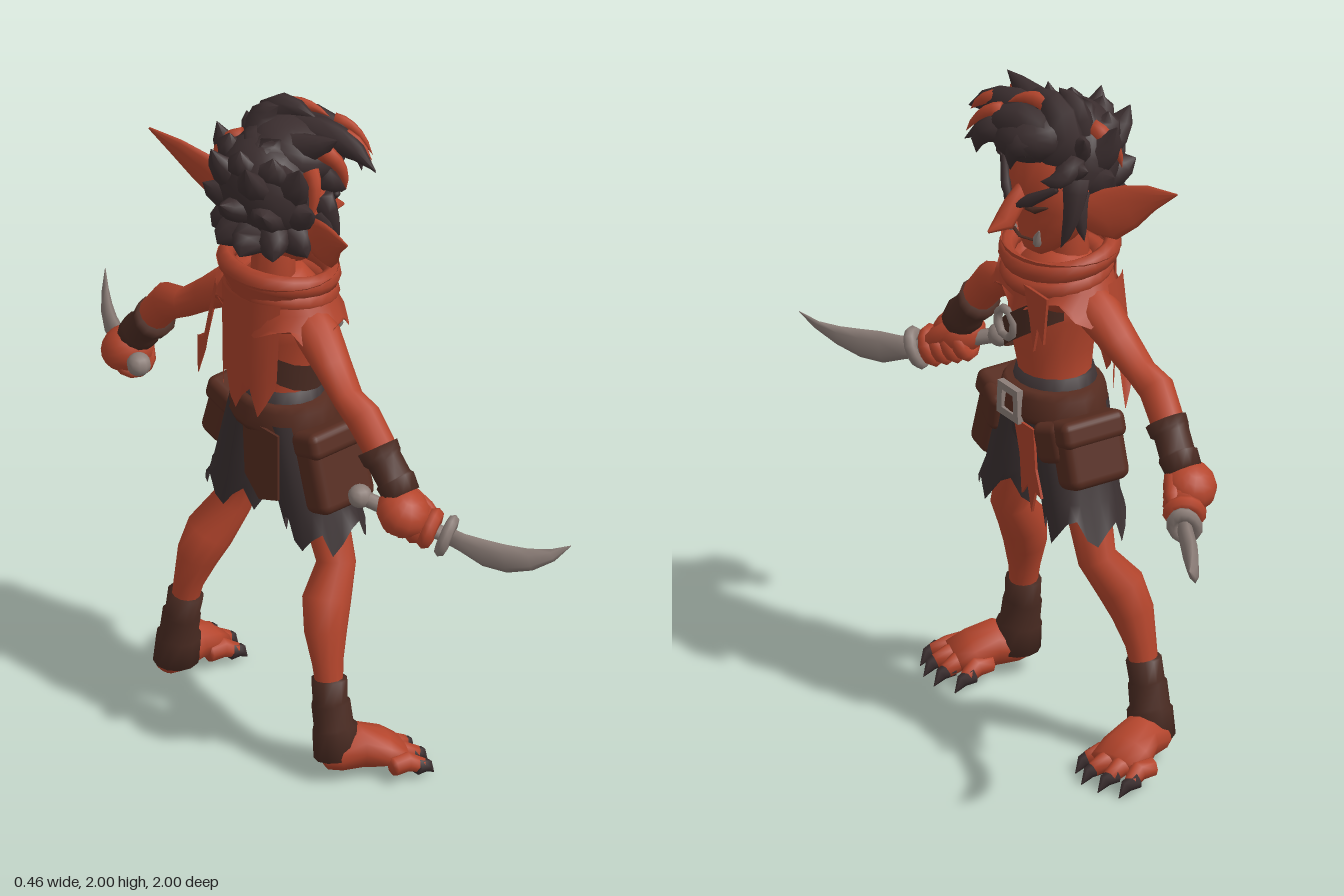
import * as THREE from 'three';
import { RoundedBoxGeometry } from 'three/addons/geometries/RoundedBoxGeometry.js';

const paint = (name, color, side = THREE.FrontSide) => {
  const m = new THREE.MeshStandardMaterial({ color, side });
  m.name = name;
  return m;
};
const D = THREE.DoubleSide;
const V = (x, y, z) => new THREE.Vector3(x, y, z);
const AHEAD = V(0, 0, 1), UP = V(0, 1, 0);

// Closed tube through sections [x, y, z, halfWidth, halfDepth]; ref is the depth direction
function loft(pts, sides = 12, ref = AHEAD) {
  const pos = [], idx = [], n = pts.length;
  const c = pts.map(p => V(p[0], p[1], p[2]));
  c.forEach((p, i) => {
    const t = c[Math.min(i + 1, n - 1)].clone().sub(c[Math.max(i - 1, 0)]).normalize();
    const u = t.clone().cross(ref).normalize(), v = u.clone().cross(t);
    const [, , , a, b = a] = pts[i];
    for (let k = 0; k < sides; k++) {
      const w = k / sides * Math.PI * 2;
      pos.push(...p.clone().addScaledVector(u, a * Math.cos(w)).addScaledVector(v, b * Math.sin(w)).toArray());
    }
  });
  const first = n * sides;
  pos.push(...c[0].toArray(), ...c[n - 1].toArray());
  for (let k = 0; k < sides; k++) {
    const j = (k + 1) % sides;
    for (let i = 0; i < n - 1; i++) {
      const a = i * sides + k, b = i * sides + j;
      idx.push(a, a + sides, b, b, a + sides, b + sides);
    }
    idx.push(first, k, j, first + 1, (n - 1) * sides + j, (n - 1) * sides + k);
  }
  const g = new THREE.BufferGeometry();
  g.setAttribute('position', new THREE.Float32BufferAttribute(pos, 3));
  g.setIndex(idx);
  g.computeVertexNormals();
  return g;
}

// Open cloth tube or arc between two ellipses [x, y, z, rx, rz], with a torn hem and an optional slope
function ragged(top, bot, jag = 0, slope = 0, arc = [0, Math.PI * 2], sides = 24) {
  const g = new THREE.CylinderGeometry(1, 1, 1, sides, 3, true, ...arc), p = g.attributes.position;
  const tear = [0, 0.4, 0.85, 1, 0.35, 0.1, 0.55, 0.8];
  for (let i = 0; i < p.count; i++) {
    const t = 0.5 - p.getY(i), k = i % (sides + 1);
    const [x, y, z, rx, rz] = top.map((a, j) => a + (bot[j] - a) * t);
    const px = x + p.getX(i) * rx;
    p.setXYZ(i, px, y + slope * px + (t > 0.9 ? jag * tear[k % 8] : 0), z + p.getZ(i) * rz);
  }
  g.computeVertexNormals();
  return g;
}

// Tapered curved spike for hair locks
function lock(a, b, c, r) {
  const curve = new THREE.QuadraticBezierCurve3(V(...a), V(...b), V(...c));
  const pts = [0, 0.2, 0.4, 0.6, 0.8, 1].map(t => {
    const q = curve.getPoint(t), w = r * Math.pow(1.001 - t, 0.65);
    return [q.x, q.y, q.z, w, w * 0.75];
  });
  return loft(pts, 8, V(0.31, 0.23, 0.92));
}

// Thin flat cut-out in the xy plane
function plate(points) {
  const s = new THREE.Shape(points.map(p => new THREE.Vector2(...p)));
  return new THREE.ExtrudeGeometry(s, { depth: 0.008, bevelEnabled: false });
}

export function createModel() {
  const skin = paint('skin', 0xb4452c), cloth = paint('red cloth', 0xac422b, D);
  const hair = paint('hair', 0x3b2e2f), shorts = paint('dark cloth', 0x3a3031, D);
  const leather = paint('leather', 0x562c20, D), wrap = paint('wrapping', 0x4a2b22, D);
  const metal = paint('metal', 0x8c7e78);
  const root = new THREE.Group(), body = new THREE.Group();
  root.name = 'figure';
  body.name = 'body';
  body.rotation.y = Math.PI / 2;
  root.add(body);
  const add = (name, geo, mat, pos, rot, scale) => {
    const m = new THREE.Mesh(geo, mat);
    m.name = name;
    if (pos) m.position.set(...pos);
    if (rot) m.rotation.set(...rot);
    if (scale) m.scale.set(...scale);
    body.add(m);
    return m;
  };

  // Torso, neck and head
  add('torso', loft([[0, 0.98, 0, 0.13, 0.11], [0, 1.1, 0, 0.105, 0.1], [0, 1.2, 0.005, 0.115, 0.115],
    [0, 1.31, 0, 0.14, 0.135], [0, 1.4, -0.015, 0.165, 0.12], [0, 1.48, -0.03, 0.08, 0.08]], 16), skin);
  add('neck', loft([[0, 1.42, -0.04, 0.07, 0.065], [0, 1.66, -0.03, 0.06, 0.06]]), skin);
  add('head', loft([[0, 1.5, 0.075, 0.025, 0.03], [0, 1.525, 0.06, 0.06, 0.055], [0, 1.57, 0.035, 0.1, 0.085],
    [0, 1.63, 0.005, 0.14, 0.115], [0, 1.7, -0.005, 0.15, 0.13], [0, 1.8, -0.01, 0.14, 0.13],
    [0, 1.87, -0.02, 0.09, 0.09], [0, 1.9, -0.02, 0.01, 0.01]], 18), skin);
  add('nose', loft([[0, 1.71, 0.105, 0.02, 0.02], [0, 1.66, 0.14, 0.028, 0.03], [0, 1.615, 0.17, 0.035, 0.028],
    [0, 1.595, 0.225, 0.004, 0.004]], 8), skin);
  add('mouth', loft([[-0.05, 1.56, 0.107, 0.003, 0.006], [0, 1.555, 0.118, 0.003, 0.006], [0.05, 1.56, 0.107, 0.003, 0.006]], 6), wrap);

  // Hair mass, locks and red streaks
  add('hairCap', new THREE.SphereGeometry(1, 20, 14), hair, [0, 1.77, -0.05], [-0.3, 0, 0], [0.16, 0.165, 0.135]);
  add('quiff', new THREE.SphereGeometry(1, 20, 14), hair, [-0.015, 1.868, 0.04], [0.15, 0, 0.12], [0.14, 0.09, 0.14]);
  [[[0.08, 1.81, 0.04], [0.1, 2.03, 0.02], [-0.06, 1.955, 0.08], 0.08],
    [[0.06, 1.85, 0.06], [0, 1.99, 0.14], [-0.19, 1.8, 0.18], 0.08],
    [[0.02, 1.86, 0.04], [-0.1, 1.97, 0.1], [-0.26, 1.86, 0.12], 0.085],
    [[0, 1.87, -0.02], [-0.1, 1.9, 0], [-0.2, 1.97, 0.03], 0.075],
    [[0.04, 1.85, -0.03], [0.1, 1.96, -0.02], [0.02, 1.995, 0], 0.075],
    [[0.06, 1.85, 0.08], [0.05, 1.91, 0.19], [-0.01, 1.765, 0.145], 0.055],
    [[-0.04, 1.86, 0.08], [-0.08, 1.92, 0.22], [-0.13, 1.78, 0.18], 0.06],
    [[0.08, 1.82, 0], [0.15, 1.86, 0], [0.18, 1.9, 0.02], 0.06],
    [[0.09, 1.79, 0.04], [0.16, 1.8, 0.03], [0.2, 1.81, 0.02], 0.05]
  ].forEach(l => add('hairLock', lock(...l), hair));
  // Rows of swept-back locks: [height, reach, lift, count, spread]
  [[1.86, 0.14, 0.06, 3, 1.6], [1.8, 0.2, 0.11, 4, 2.4], [1.73, 0.215, 0.04, 5, 2.7], [1.66, 0.19, -0.05, 6, 2.7]].forEach(([y, reach, lift, n, spread]) => {
    for (let i = 0; i < n; i++) {
      const a = (i / (n - 1) - 0.5) * spread, x = Math.sin(a), z = -Math.cos(a);
      add('backLock', lock([x * 0.06, y, -0.03 + z * 0.04], [x * 0.15, y - 0.01, -0.03 + z * 0.15],
        [x * (reach - 0.01), y + lift, -0.02 + z * reach], 0.09), hair);
    }
  });
  [[[-0.1, 1.92, 0.08], [-0.16, 1.95, 0.13], [-0.22, 1.87, 0.14], 0.032],
    [[0.05, 1.96, 0.05], [0, 2.0, 0.08], [-0.06, 1.95, 0.12], 0.03],
    [[-0.13, 1.91, 0.02], [-0.2, 1.89, 0.06], [-0.19, 1.79, 0.07], 0.035],
    [[-0.06, 1.93, 0.14], [-0.11, 1.93, 0.18], [-0.16, 1.84, 0.195], 0.025],
    [[-0.14, 1.86, -0.02], [-0.19, 1.82, -0.03], [-0.17, 1.72, -0.05], 0.03],
    [[0.1, 1.88, -0.06], [0.17, 1.87, -0.1], [0.16, 1.77, -0.12], 0.033]
  ].forEach(l => add('redStreak', lock(...l), skin));

  // Scarf with shoulder cape and torn tails
  add('shoulderCape', ragged([0, 1.46, -0.015, 0.15, 0.14], [0, 1.325, -0.01, 0.238, 0.155], 0.075), cloth);
  add('collar', ragged([0, 1.51, -0.02, 0.185, 0.165], [0, 1.42, -0.01, 0.13, 0.14]), cloth);
  add('scarfFold', new THREE.TorusGeometry(0.15, 0.024, 8, 24), cloth, [0, 1.493, -0.015], [Math.PI / 2 + 0.16, 0, 0], [1.07, 0.98, 1.4]);
  add('scarfFold', new THREE.TorusGeometry(0.13, 0.032, 8, 24), cloth, [0, 1.435, -0.005], [Math.PI / 2 + 0.16, 0, 0], [1.08, 0.98, 1]);
  add('backCape', ragged([0, 1.45, -0.01, 0.165, 0.165], [0.02, 1.06, -0.01, 0.145, 0.15], 0.11, 0, [2.3, 1.7], 10), cloth);
  add('scarfTail', ragged([0.02, 1.43, -0.01, 0.17, 0.17], [0.085, 1.08, -0.01, 0.2, 0.16], 0.11, 0, [1.85, 0.8], 6), cloth);
  add('frontRag', plate([[0.05, 1.43], [0.17, 1.43], [0.15, 1.28], [0.12, 1.32], [0.1, 1.24], [0.08, 1.34]]), cloth, [0, 0, 0.132]);

  // Chest strap with ring
  add('chestStrap', ragged([0, 1.325, 0.005, 0.145, 0.146], [0, 1.235, 0.005, 0.138, 0.14], 0, 0.7), wrap);
  add('strapRing', new THREE.TorusGeometry(0.043, 0.013, 6, 8), metal, [-0.03, 1.28, 0.146], [0, 0, 0.3]);

  // Belt, buckle, pouches and loincloth
  add('shortsSeat', loft([[0, 0.86, 0.005, 0.06, 0.09], [0, 0.92, 0.005, 0.13, 0.115], [0, 1.05, 0, 0.14, 0.125], [0, 1.125, 0, 0.115, 0.11]], 20), shorts);
  add('belt', loft([[0, 1, 0.005, 0.165, 0.14], [0, 1.02, 0.005, 0.172, 0.148], [0, 1.075, 0.005, 0.16, 0.142], [0, 1.095, 0.005, 0.145, 0.13]], 20), leather);
  const frame = [[-0.055, -0.05], [0.055, -0.05], [0.05, 0.05], [-0.05, 0.05]];
  const buckle = new THREE.Shape(frame.map(p => new THREE.Vector2(...p)));
  buckle.holes.push(new THREE.Path(frame.map(p => new THREE.Vector2(p[0] * 0.55, p[1] * 0.55))));
  add('buckle', new THREE.ExtrudeGeometry(buckle, { depth: 0.02, bevelEnabled: false }), metal, [-0.005, 1.045, 0.138]);
  add('loincloth', plate([[0.01, 1.0], [0.11, 1.0], [0.12, 0.88], [0.15, 0.8], [0.12, 0.81], [0.1, 0.74], [0.08, 0.82], [0.05, 0.78], [0.04, 0.9]]), cloth, [0, 0, 0.138]);
  for (const s of [-1, 1]) {
    const h = s < 0 ? 0.24 : 0.19;
    add('pouch', new RoundedBoxGeometry(0.1, h, 0.2, 3, 0.03), leather, [s * 0.2, 1.03 - h / 2, 0.015], [0, 0, s * 0.3]);
    add('pouchFlap', new RoundedBoxGeometry(0.11, 0.08, 0.21, 3, 0.025), leather, [s * 0.185, 1.0, 0.015], [0, 0, s * 0.3]);
    add('frontPouch', new RoundedBoxGeometry(0.1, 0.12, 0.06, 3, 0.025), leather, [s * 0.145, 0.965, 0.105], [0, s * 0.3, s * 0.25]);
  }
  add('backFlap', plate([[-0.13, 1.03], [0.02, 1.03], [0.01, 0.85], [-0.05, 0.79], [-0.13, 0.82]]), leather, [0, 0, -0.134]);

  // Parts repeated on both sides
  for (const s of [-1, 1]) {
    const side = (pts, n, ref) => loft(pts.map(([x, ...r]) => [s * x, ...r]), n, ref);

    add('ear', side([[0.12, 1.645, 0, 0.035, 0.03], [0.17, 1.655, -0.02, 0.06, 0.03], [0.22, 1.67, -0.04, 0.074, 0.024],
      [0.28, 1.712, -0.07, 0.062, 0.018], [0.34, 1.753, -0.1, 0.037, 0.013], [0.425, 1.79, -0.13, 0.003, 0.003]], 10), skin);
    add('eyebrow', side([[0.018, 1.665, 0.14, 0.009, 0.01], [0.06, 1.692, 0.126, 0.019, 0.014], [0.135, 1.745, 0.085, 0.01, 0.01]], 6), hair);
    add('eye', side([[0.035, 1.657, 0.122, 0.003, 0.006], [0.065, 1.66, 0.113, 0.011, 0.01], [0.1, 1.675, 0.092, 0.003, 0.006]], 6), wrap);
    add('tusk', side([[0.06, 1.55, 0.1, 0.014, 0.012], [0.07, 1.575, 0.107, 0.013, 0.01], [0.082, 1.6, 0.108, 0.003, 0.003]], 6), metal);
    add('sideburn', lock([s * 0.135, 1.76, 0.02], [s * 0.175, 1.67, 0.045], [s * 0.135, 1.56, 0.07], 0.045), hair);
    add('sideburn', lock([s * 0.13, 1.71, 0.01], [s * 0.165, 1.66, 0.03], [s * 0.18, 1.585, 0.02], 0.04), hair);
    add('templeLock', lock([s * 0.13, 1.82, 0.03], [s * 0.175, 1.77, 0.08], [s * 0.1, 1.765, 0.115], 0.045), hair);

    // Arm, cuff and gripping hand
    add('arm', side([[0.11, 1.39, -0.02, 0.05, 0.06], [0.19, 1.345, -0.03, 0.062, 0.065], [0.27, 1.285, -0.045, 0.048, 0.055],
      [0.35, 1.225, -0.06, 0.042, 0.045], [0.42, 1.2, -0.065, 0.055, 0.05], [0.48, 1.13, -0.06, 0.05, 0.048], [0.57, 1.02, -0.055, 0.036, 0.036]]), skin);
    add('cuff', side([[0.475, 1.125, -0.06, 0.062, 0.06], [0.495, 1.1, -0.06, 0.058, 0.058], [0.505, 1.095, -0.06, 0.05, 0.052],
      [0.54, 1.05, -0.055, 0.05, 0.052], [0.545, 1.045, -0.055, 0.058, 0.058], [0.575, 1.01, -0.055, 0.052, 0.054]]), wrap);
    add('hand', new THREE.SphereGeometry(1, 12, 10), skin, [s * 0.592, 0.968, -0.065], [0, 0, s * -0.5], [0.08, 0.068, 0.076]);
    const grip = V(s * 0.475, 0.99, -0.125), guard = V(s * 0.685, 0.9, 0.015);
    const turn = new THREE.Quaternion().setFromUnitVectors(AHEAD, guard.clone().sub(grip).normalize());
    for (let i = 0; i < 4; i++) {
      const at = grip.clone().lerp(guard, 0.42 + i * 0.13);
      add('finger', new THREE.TorusGeometry(0.04, 0.023, 7, 12), skin, at.toArray()).quaternion.copy(turn);
    }
    add('thumb', side([[0.57, 1.0, -0.02, 0.025, 0.025], [0.61, 0.96, 0.005, 0.026, 0.024], [0.645, 0.93, 0.02, 0.014, 0.014]], 8), skin);

    // Curved dagger
    add('handle', side([[0.475, 0.99, -0.125, 0.022], [0.685, 0.9, 0.015, 0.022]], 8), metal);
    add('pommel', new THREE.SphereGeometry(0.035, 10, 8), metal, grip.toArray());
    add('guard', new THREE.TorusGeometry(0.034, 0.018, 7, 12), metal, guard.toArray(), null, [1, 1.3, 1]).quaternion.copy(turn);
    add('blade', side([[0.68, 0.903, 0.015, 0.03, 0.02], [0.73, 0.888, 0.037, 0.035, 0.021], [0.79, 0.872, 0.064, 0.047, 0.021],
      [0.85, 0.868, 0.095, 0.045, 0.019], [0.91, 0.878, 0.132, 0.033, 0.015], [0.96, 0.9, 0.17, 0.018, 0.008], [1, 0.935, 0.205, 0.001, 0.001]], 6), metal);

    // Shorts leg, leg, ankle wrap
    add('shortsLeg', ragged([s * 0.075, 1.04, 0, 0.08, 0.12], [s * 0.17, 0.665, 0.01, 0.115, 0.115], 0.09), shorts);
    add('leg', side([[0.1, 0.96, 0, 0.06, 0.08], [0.185, 0.72, 0.005, 0.062, 0.062], [0.222, 0.61, 0.005, 0.058, 0.056],
      [0.25, 0.52, -0.055, 0.07, 0.07], [0.275, 0.44, -0.08, 0.06, 0.062], [0.298, 0.35, -0.092, 0.042, 0.046],
      [0.315, 0.26, -0.098, 0.036, 0.038], [0.34, 0.1, -0.1, 0.036, 0.038]]), skin);
    add('ankleWrap', side([[0.308, 0.305, -0.095, 0.054, 0.05], [0.318, 0.24, -0.1, 0.05, 0.05], [0.32, 0.235, -0.1, 0.057, 0.055],
      [0.333, 0.165, -0.1, 0.055, 0.058], [0.335, 0.16, -0.098, 0.062, 0.066], [0.345, 0.075, -0.098, 0.062, 0.07]]), wrap);

    // Foot, toes and claws
    add('foot', side([[0.34, 0.065, -0.145, 0.03, 0.025], [0.35, 0.08, -0.11, 0.055, 0.05], [0.37, 0.095, -0.04, 0.068, 0.066],
      [0.395, 0.078, 0.02, 0.085, 0.052], [0.41, 0.062, 0.07, 0.085, 0.03]], 12, UP), skin);
    [0.325, 0.38, 0.435, 0.485].forEach((x, i) => {
      const z = [0.075, 0.1, 0.09, 0.06][i], e = x + (x - 0.39) * 0.25;
      add('toe', side([[x, 0.06, z - 0.07, 0.026, 0.028], [x, 0.058, z - 0.02, 0.028, 0.03], [e, 0.042, z + 0.02, 0.021, 0.022]], 8, UP), skin);
      add('toeClaw', side([[e, 0.046, z - 0.002, 0.023, 0.025], [e, 0.036, z + 0.035, 0.018, 0.019], [e, 0.004, z + 0.06, 0.001, 0.001]], 6, UP), hair);
    });
  }
  return root;
}
